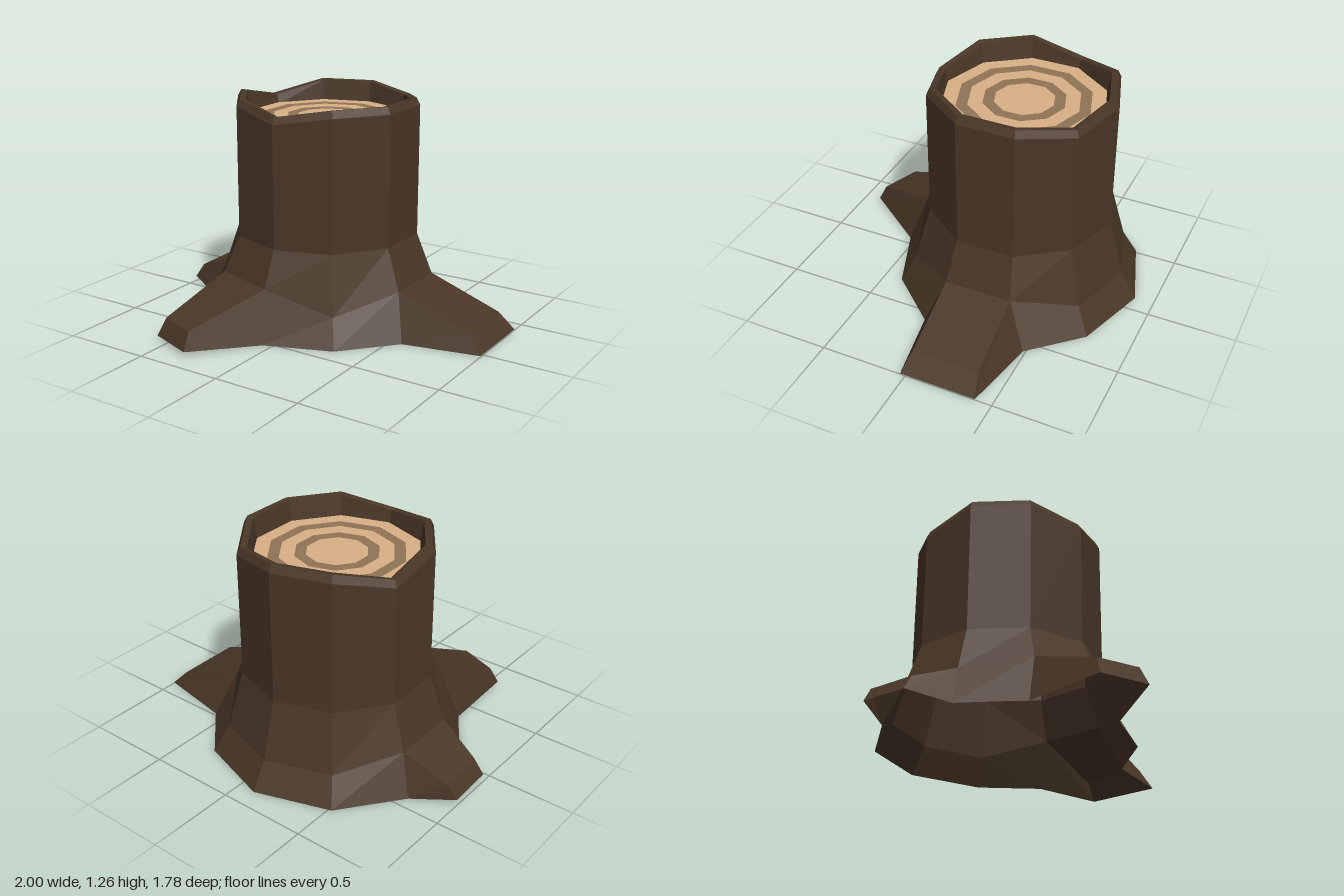
import * as THREE from 'three';

const SIDES = 10, CX = -0.1, CZ = -0.18;

// Flat-shaded mesh from a list of four-cornered faces
function quadMesh(name, quads, material) {
  const pos = [];
  for (const [a, b, c, d] of quads) for (const p of [a, b, c, a, c, d]) pos.push(...p);
  const geo = new THREE.BufferGeometry();
  geo.setAttribute('position', new THREE.Float32BufferAttribute(pos, 3));
  geo.computeVertexNormals();
  const mesh = new THREE.Mesh(geo, material);
  mesh.name = name;
  return mesh;
}

// Ten-sided ring; side 0 points to +z and the count runs towards +x
function ring(r, y, shift = {}) {
  return Array.from({ length: SIDES }, (_, k) => {
    const a = (k * Math.PI * 2) / SIDES;
    return [CX + r * Math.sin(a), y + (shift[k] ?? 0), CZ + r * Math.cos(a)];
  });
}

export function createModel() {
  const group = new THREE.Group();
  group.name = 'treeStump';
  const bark = new THREE.MeshStandardMaterial({
    color: 0x4a3727, flatShading: true, side: THREE.DoubleSide });
  const lightWood = new THREE.MeshStandardMaterial({ color: 0xd8b086, flatShading: true });
  const darkWood = new THREE.MeshStandardMaterial({ color: 0x907557, flatShading: true });

  // Roots: the trunk side they grow from, foot corners [x, z],
  // shoulder corners [x, y, z] and tip corners [x, y, z]
  const roots = [
    { name: 'leftRoot', i: 2, rise: 0.095,
      foot: [[0.57, 0.11], [0.57, -0.485]],
      shoulder: [[0.91, 0.1, 0], [0.91, 0.1, -0.38]],
      tip: [[1, 0.005, 0.03], [1, 0.005, -0.405]] },
    { name: 'rightRoot', i: 7, rise: 0.07,
      foot: [[-0.77, -0.43], [-0.77, 0.06]],
      shoulder: [[-0.945, 0.12, -0.335], [-0.935, 0.12, -0.06]],
      tip: [[-1, 0.035, -0.32], [-0.99, 0.035, -0.05]] },
    { name: 'frontRoot', i: 9, rise: 0.125,
      foot: [[-0.56, 0.37], [-0.05, 0.535]],
      shoulder: [[-0.53, 0.13, 0.755], [-0.305, 0.13, 0.84]],
      tip: [[-0.565, 0.03, 0.795], [-0.3, 0.03, 0.89]] },
  ];

  // Flared foot and the ring above it, lifted and widened at the roots
  const foot = ring(0.71, 0);
  const flare = ring(0.62, 0.155);
  for (const { i, rise, foot: f } of roots) {
    [i, (i + 1) % SIDES].forEach((k, n) => {
      foot[k] = [f[n][0], 0, f[n][1]];
      flare[k][1] += rise;
    });
  }

  // Trunk bark up to the chipped rim and down its inside
  const chips = { 0: -0.05, 4: -0.035, 7: -0.07 };
  const rings = [foot, flare, ring(0.53, 0.48), ring(0.53, 1.22, chips),
    ring(0.51, 1.26, chips), ring(0.475, 1.255, chips), ring(0.455, 1.13)];
  const walls = [];
  for (let r = 0; r < rings.length - 1; r++) {
    for (let k = 0; k < SIDES; k++) {
      if (r === 0 && roots.some((root) => root.i === k)) continue;
      const n = (k + 1) % SIDES;
      walls.push([rings[r][k], rings[r][n], rings[r + 1][n], rings[r + 1][k]]);
    }
  }
  group.add(quadMesh('trunk', walls, bark));

  // Hollow roots: top, end and two sides
  for (const { name, i, shoulder: s, tip: t } of roots) {
    const j = (i + 1) % SIDES;
    group.add(quadMesh(name, [
      [s[0], s[1], flare[j], flare[i]],
      [t[0], t[1], s[1], s[0]],
      [foot[i], t[0], s[0], flare[i]],
      [t[1], foot[j], flare[j], s[1]],
    ], bark));
  }

  // Cut face with growth rings
  const radii = [0, 0.168, 0.23, 0.312, 0.375, 0.46];
  for (let n = 0; n < radii.length - 1; n++) {
    const geo = new THREE.RingGeometry(radii[n], radii[n + 1], SIDES, 1, Math.PI / 2);
    geo.rotateX(-Math.PI / 2);
    const band = new THREE.Mesh(geo, n % 2 ? darkWood : lightWood);
    band.name = `growthRing${n + 1}`;
    band.position.set(CX, 1.14, CZ);
    group.add(band);
  }
  return group;
}
